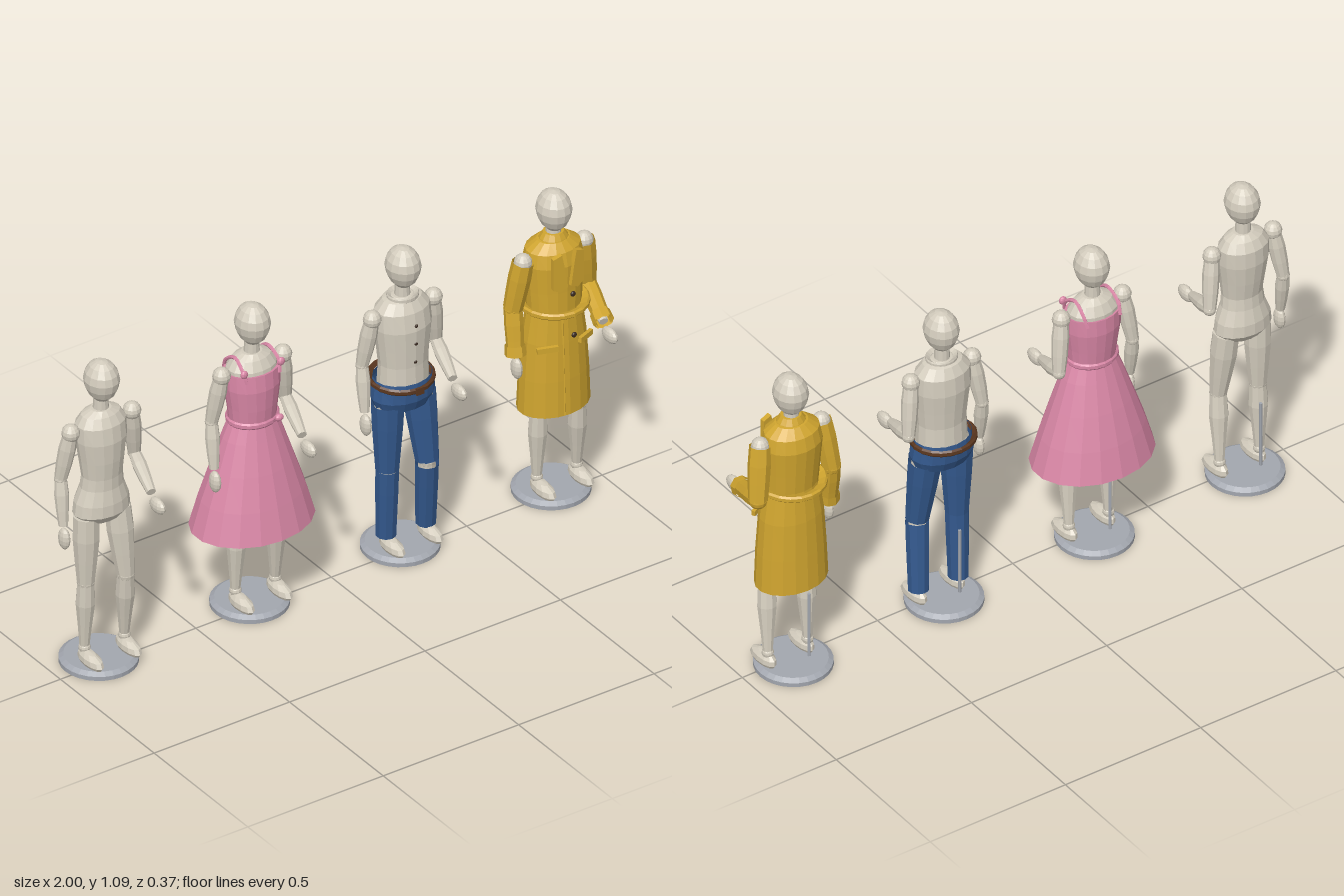
import * as THREE from 'three';

const mat = (name, color, side = THREE.FrontSide) =>
  Object.assign(new THREE.MeshStandardMaterial({ color, side }), { name });

export function createModel() {
  const body = mat('pale body', 0xd3ccbd);
  const metal = mat('grey stand', 0xa2a6ae);
  const pink = mat('pink cloth', 0xd987a6, THREE.DoubleSide);
  const blue = mat('blue denim', 0x33588c, THREE.DoubleSide);
  const yellow = mat('yellow coat cloth', 0xd0a52f, THREE.DoubleSide);
  const brown = mat('brown leather', 0x5c3820);
  const dark = mat('dark button', 0x3a2a20);

  // Faceted mesh from any geometry
  const add = (parent, name, geo, material, pos = [0, 0, 0]) => {
    const g = geo.index ? geo.toNonIndexed() : geo;
    g.computeVertexNormals();
    const m = new THREE.Mesh(g, material);
    m.name = name;
    m.position.set(...pos);
    parent.add(m);
    return m;
  };

  // Stacked ellipses: each ring is [y, half width, half depth, centre z]
  const loft = (rings, sides = 16) => {
    const g = new THREE.LatheGeometry(rings.map(r => new THREE.Vector2(Math.max(r[1], 1e-4), r[0])), sides);
    const p = g.attributes.position;
    for (let i = 0; i < p.count; i++) {
      const [, rx, rz, cz] = rings[i % rings.length];
      p.setZ(i, p.getZ(i) * rz / Math.max(rx, 1e-4) + cz);
    }
    return g;
  };

  const band = (y, h, rx, rz, cz, k = 0.85) => loft([
    [y, rx * k, rz * k, cz], [y - h / 2, rx * 0.95, rz * 0.95, cz], [y - h / 4, rx, rz, cz],
    [y + h / 4, rx, rz, cz], [y + h / 2, rx * 0.95, rz * 0.95, cz], [y, rx * k, rz * k, cz]], 20);

  // Round limb from a to b with evenly spaced radii, optionally capped
  const limb = (parent, name, a, b, radii, material, capped = true, sides = 10) => {
    const A = new THREE.Vector3(...a), d = new THREE.Vector3(...b).sub(A), len = d.length();
    const pts = radii.map((r, i) => new THREE.Vector2(r, len * i / (radii.length - 1)));
    if (capped) {
      pts.unshift(new THREE.Vector2(0, 0));
      pts.push(new THREE.Vector2(0, len));
    }
    const m = add(parent, name, new THREE.LatheGeometry(pts, sides), material, a);
    m.quaternion.setFromUnitVectors(new THREE.Vector3(0, 1, 0), d.normalize());
    return m;
  };

  const ball = (parent, name, pos, s, material) =>
    add(parent, name, new THREE.SphereGeometry(1, 12, 8).scale(...s), material, pos);

  // Joints of the shared pose: right side hangs, left forearm reaches forward
  const arms = [
    { side: 'right', shoulder: [-0.113, 0.87, -0.013], elbow: [-0.135, 0.7, -0.035], wrist: [-0.146, 0.55, -0.005],
      hand: [-0.148, 0.507, 0.003], handSize: [0.016, 0.037, 0.025] },
    { side: 'left', shoulder: [0.113, 0.87, -0.013], elbow: [0.14, 0.692, -0.04], wrist: [0.103, 0.637, 0.105],
      hand: [0.095, 0.615, 0.15], handSize: [0.017, 0.026, 0.037] }];
  const legs = [
    { side: 'right', hip: [-0.056, 0.55, -0.012], knee: [-0.058, 0.31, -0.012], ankle: [-0.056, 0.075, -0.022] },
    { side: 'left', hip: [0.056, 0.55, -0.008], knee: [0.068, 0.31, 0.018], ankle: [0.084, 0.075, -0.012] }];

  const mannequin = (name, x) => {
    const f = new THREE.Group();
    f.name = name;
    f.position.x = x;
    // Stand
    add(f, 'standBase', loft([[0, 0, 0, -0.027], [0, 0.123, 0.123, -0.027], [0.014, 0.123, 0.123, -0.027],
      [0.024, 0.108, 0.108, -0.027], [0.024, 0, 0, -0.027]], 28), metal);
    add(f, 'standRod', new THREE.CylinderGeometry(0.005, 0.005, 0.24, 8), metal, [-0.042, 0.14, -0.05]);
    // Head, neck and torso
    add(f, 'head', loft([[0.948, 0, 0, -0.012], [0.955, 0.022, 0.025, -0.012], [0.973, 0.038, 0.044, -0.012],
      [0.998, 0.05, 0.056, -0.012], [1.025, 0.055, 0.061, -0.012], [1.05, 0.05, 0.056, -0.012],
      [1.073, 0.036, 0.042, -0.012], [1.086, 0.018, 0.022, -0.012], [1.09, 0, 0, -0.012]], 14), body);
    add(f, 'neck', new THREE.CylinderGeometry(0.022, 0.026, 0.07, 12), body, [0, 0.935, -0.016]);
    add(f, 'torso', loft([[0.525, 0, 0, -0.014], [0.53, 0.07, 0.045, -0.014], [0.56, 0.097, 0.067, -0.014],
      [0.6, 0.092, 0.066, -0.014], [0.65, 0.073, 0.056, -0.012], [0.69, 0.068, 0.054, -0.01],
      [0.75, 0.075, 0.062, -0.012], [0.82, 0.085, 0.068, -0.015], [0.875, 0.085, 0.063, -0.018],
      [0.905, 0.066, 0.046, -0.018], [0.92, 0.034, 0.03, -0.016], [0.922, 0, 0, -0.016]], 16), body);
    // Arms
    for (const a of arms) {
      ball(f, a.side + 'Shoulder', [a.shoulder[0], 0.868, -0.013], [0.029, 0.03, 0.029], body);
      limb(f, a.side + 'UpperArm', a.shoulder, a.elbow, [0.022, 0.027, 0.025, 0.02], body);
      ball(f, a.side + 'Elbow', a.elbow, [0.021, 0.021, 0.021], body);
      limb(f, a.side + 'Forearm', a.elbow, a.wrist, [0.019, 0.023, 0.02, 0.015], body);
      ball(f, a.side + 'Hand', a.hand, a.handSize, body);
    }
    // Legs
    for (const l of legs) {
      limb(f, l.side + 'Thigh', l.knee, l.hip, [0.028, 0.036, 0.043, 0.042], body);
      ball(f, l.side + 'Knee', l.knee, [0.028, 0.028, 0.028], body);
      limb(f, l.side + 'Shin', l.ankle, l.knee, [0.016, 0.023, 0.031, 0.027], body);
      ball(f, l.side + 'Ankle', [l.ankle[0], 0.068, l.ankle[2]], [0.019, 0.019, 0.02], body);
      add(f, l.side + 'Foot', loft([[0.024, 0, 0, 0.012], [0.024, 0.021, 0.054, 0.012], [0.034, 0.026, 0.061, 0.012],
        [0.05, 0.024, 0.056, 0.009], [0.062, 0.014, 0.034, 0], [0.066, 0, 0, -0.005]], 12), body, [l.ankle[0], 0, 0]);
    }
    return f;
  };

  const model = new THREE.Group();
  model.name = 'mannequinRow';
  const bare = mannequin('bareMannequin', -0.84);
  const dress = mannequin('dressMannequin', -0.283);
  const jeans = mannequin('trouserMannequin', 0.273);
  const coat = mannequin('coatMannequin', 0.83);
  model.add(bare, dress, jeans, coat);

  // Dress: bodice, flared skirt, sash with knot, shoulder straps
  add(dress, 'bodice', loft([[0.68, 0.077, 0.063, -0.012], [0.74, 0.083, 0.07, -0.013], [0.81, 0.093, 0.076, -0.015],
    [0.865, 0.093, 0.072, -0.017], [0.863, 0.084, 0.062, -0.018]], 18), pink);
  add(dress, 'skirt', loft([[0.315, 0.206, 0.163, -0.015], [0.42, 0.175, 0.138, -0.015], [0.53, 0.137, 0.109, -0.014],
    [0.63, 0.102, 0.08, -0.013], [0.69, 0.077, 0.063, -0.012]], 18), pink);
  add(dress, 'sash', band(0.69, 0.022, 0.087, 0.075, -0.012), pink);
  ball(dress, 'sashKnot', [0.055, 0.69, 0.05], [0.016, 0.012, 0.012], pink);
  for (const s of [-1, 1]) {
    const path = new THREE.CatmullRomCurve3([[0.06, 0.85, 0.046], [0.066, 0.885, 0.034], [0.062, 0.914, -0.014],
      [0.064, 0.885, -0.062], [0.06, 0.85, -0.078]].map(p => new THREE.Vector3(p[0] * s, p[1], p[2])));
    add(dress, 'strap', new THREE.TubeGeometry(path, 12, 0.006, 6), pink);
    ball(dress, 'strapBow', [0.068 * s, 0.885, 0.043], [0.013, 0.014, 0.009], pink);
  }

  // Shirt with collar and buttons
  add(jeans, 'shirt', loft([[0.62, 0.085, 0.07, -0.013], [0.69, 0.082, 0.067, -0.012], [0.75, 0.088, 0.071, -0.013],
    [0.82, 0.096, 0.076, -0.015], [0.88, 0.093, 0.068, -0.018], [0.912, 0.066, 0.05, -0.018],
    [0.918, 0.045, 0.04, -0.016]], 16), body);
  add(jeans, 'shirtCollar', band(0.918, 0.02, 0.052, 0.046, -0.014, 0.7), body);
  for (const [y, z] of [[0.84, 0.06], [0.775, 0.058], [0.708, 0.055]])
    ball(jeans, 'shirtButton', [0, y, z], [0.006, 0.006, 0.004], dark);

  // Trousers and leather belt
  add(jeans, 'trouserSeat', loft([[0.52, 0.055, 0.04, -0.014], [0.535, 0.095, 0.066, -0.014], [0.57, 0.108, 0.081, -0.015],
    [0.61, 0.102, 0.083, -0.016], [0.635, 0.096, 0.08, -0.016]], 16), blue);
  for (const l of legs) {
    const cut = l.side === 'left' ? 0.006 : 0;
    const at = dy => [l.knee[0], l.knee[1] + dy, l.knee[2]];
    limb(jeans, l.side + 'TrouserThigh', at(cut), l.hip, [0.038, 0.044, 0.05, 0.054], blue, false);
    limb(jeans, l.side + 'TrouserShin', [l.ankle[0], 0.065, l.ankle[2]], at(-cut), [0.033, 0.035, 0.037, 0.038], blue, false);
  }
  const belt = add(jeans, 'leatherBelt', band(0, 0.022, 0.107, 0.102, 0, 0.83), brown, [0, 0.621, -0.022]);
  belt.rotation.x = 0.05;
  add(jeans, 'beltBuckle', new THREE.BoxGeometry(0.028, 0.024, 0.008), brown, [0, 0.616, 0.079]);

  // Coat body, collar and belt
  add(coat, 'coatBody', loft([[0.325, 0.122, 0.092, -0.015], [0.45, 0.117, 0.088, -0.014], [0.58, 0.108, 0.082, -0.014],
    [0.69, 0.091, 0.073, -0.012], [0.76, 0.095, 0.076, -0.015], [0.85, 0.101, 0.081, -0.018],
    [0.895, 0.092, 0.07, -0.018], [0.922, 0.055, 0.045, -0.016], [0.925, 0.03, 0.028, -0.016]], 18), yellow);
  add(coat, 'coatCollar', loft([[0.912, 0.052, 0.046, -0.014], [0.925, 0.047, 0.041, -0.014], [0.944, 0.034, 0.031, -0.014],
    [0.944, 0.025, 0.024, -0.014]], 14), yellow);
  add(coat, 'coatBelt', band(0.695, 0.022, 0.112, 0.114, -0.014, 0.75), yellow);

  // Lapels, front edge, buttons and pocket flaps
  for (const s of [-1, 1]) {
    const outline = [[0.004, 0.785], [0.03, 0.772], [0.054, 0.785], [0.054, 0.895], [0.025, 0.905], [0.016, 0.86]];
    const shape = new THREE.Shape(outline.map(([x, y]) => new THREE.Vector2(x * s, y)));
    const lapel = add(coat, 'lapel', new THREE.ExtrudeGeometry(shape, { depth: 0.016, bevelEnabled: false }), yellow, [0, 0, 0.058]);
    lapel.rotation.y = s * 0.12;
    const flap = add(coat, 'pocketFlap', new THREE.BoxGeometry(0.066, 0.018, 0.012), yellow, [0.07 * s, 0.572, 0.056]);
    flap.rotation.set(0, s * 0.42, -s * 0.06);
  }
  limb(coat, 'coatFrontEdge', [-0.018, 0.327, 0.074], [-0.018, 0.68, 0.06], [0.004, 0.004], yellow, true, 4);
  for (const [y, z] of [[0.745, 0.062], [0.67, 0.063], [0.6, 0.068]])
    ball(coat, 'coatButton', [0.02, y, z], [0.009, 0.009, 0.006], dark);

  // Sleeves with cuffs
  for (const a of arms) {
    limb(coat, a.side + 'UpperSleeve', a.shoulder, a.elbow, [0.034, 0.036, 0.034, 0.031], yellow, false, 8);
    ball(coat, a.side + 'SleeveElbow', a.elbow, [0.03, 0.03, 0.03], yellow);
    limb(coat, a.side + 'LowerSleeve', a.elbow, a.wrist, [0.029, 0.03, 0.028, 0.027], yellow, false, 8);
    const e = new THREE.Vector3(...a.elbow), w = new THREE.Vector3(...a.wrist);
    limb(coat, a.side + 'Cuff', e.lerp(w, 0.78).toArray(), a.wrist, [0.032, 0.034], yellow, false, 8);
  }
  return model;
}
